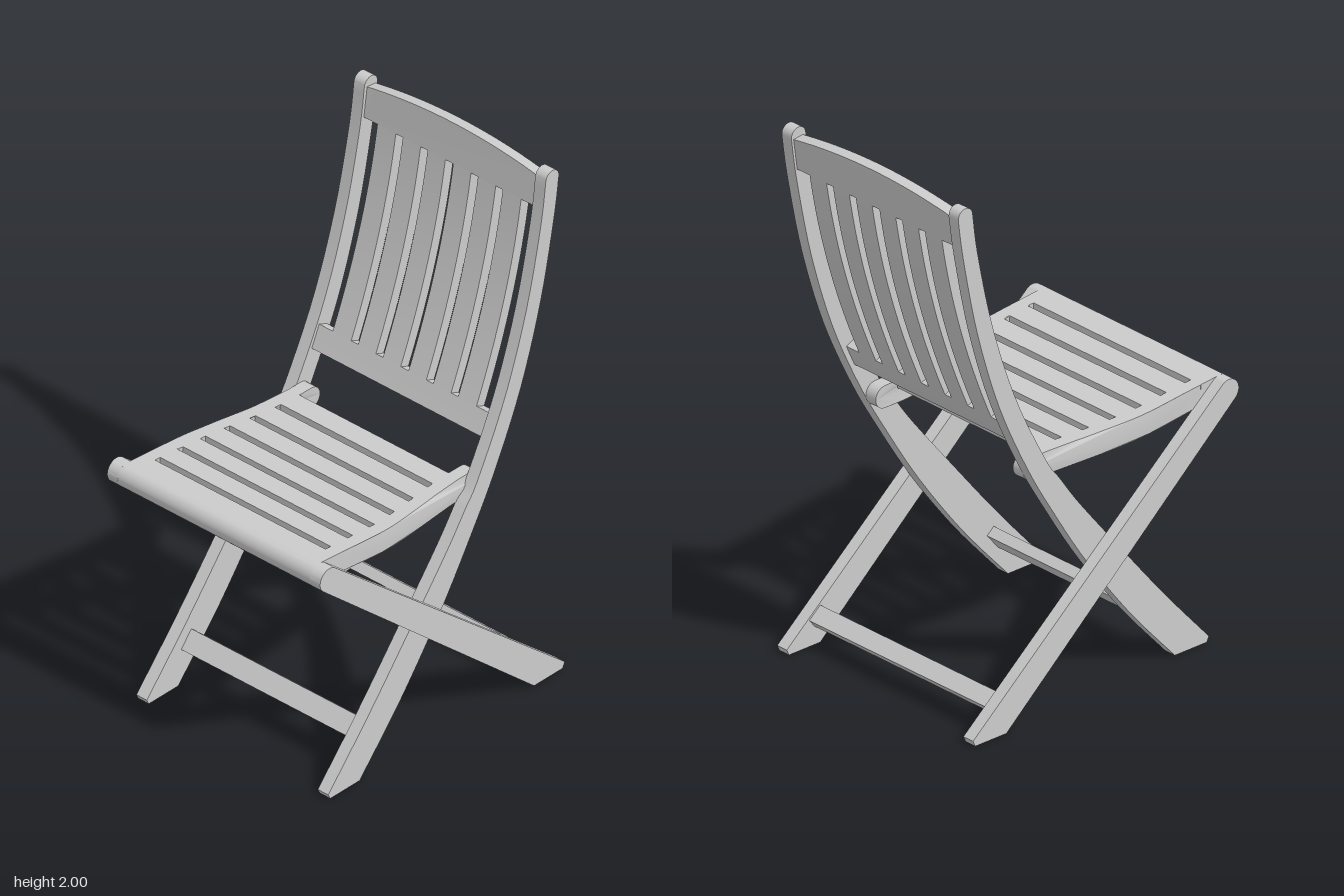
import * as THREE from 'three';
import { toCreasedNormals } from 'three/addons/utils/BufferGeometryUtils.js';

const material = new THREE.MeshStandardMaterial({ color: 0xcccccc });
const P = (pairs) => pairs.map(([a, b]) => new THREE.Vector2(a, b));
const smooth = (pairs, n = 24) => new THREE.SplineCurve(P(pairs)).getPoints(n);

// points on an arc, angles in radians
const arc = (cz, cy, r, a0, a1, n = 12) =>
  Array.from({ length: n + 1 }, (_, i) => {
    const a = a0 + ((a1 - a0) * i) / n;
    return new THREE.Vector2(cz + r * Math.cos(a), cy + r * Math.sin(a));
  });

// extrude a side profile of (z, y) points across x0..x1
function sideExtrude(points, x0, x1) {
  const geo = new THREE.ExtrudeGeometry(new THREE.Shape(points), { depth: x1 - x0, bevelEnabled: false });
  return geo.rotateY(-Math.PI / 2).translate(x1, 0, 0);
}

// move every vertex by a rule
function warp(geo, rule) {
  const pos = geo.attributes.position;
  const v = new THREE.Vector3();
  for (let i = 0; i < pos.count; i++) {
    rule(v.fromBufferAttribute(pos, i));
    pos.setXYZ(i, v.x, v.y, v.z);
  }
  return geo;
}

function add(group, name, geo) {
  const mesh = new THREE.Mesh(toCreasedNormals(geo, 0.5), material);
  mesh.name = name;
  group.add(mesh);
}

// backrest: flat pieces with local z in -t..0, bent along the lean
const leanZ = (y) => -0.29 - 0.385 * (y - 1.04) + 0.192 * (y - 1.04) * (y - 1.5);
const bend = (geo) => warp(geo, (v) => {
  const s = (leanZ(v.y + 0.01) - leanZ(v.y - 0.01)) / 0.02;
  const k = v.z / Math.hypot(1, s);
  v.z = leanZ(v.y) + k;
  v.y -= k * s;
});
const board = (x0, x1, y0, y1, t, segments) =>
  bend(new THREE.BoxGeometry(x1 - x0, y1 - y0, t, 1, segments, 1)
    .translate((x0 + x1) / 2, (y0 + y1) / 2, -t / 2));

function backrest() {
  const group = new THREE.Group();
  group.name = 'backrest';
  const t = 0.042;
  add(group, 'lowerBackRail', board(-0.392, 0.392, 1.04, 1.12, t, 3));
  for (const [x0, x1] of [[0.018, 0.099], [0.131, 0.212], [0.244, 0.328]]) {
    add(group, 'backSlat', board(x0, x1, 1.12, 1.85, t, 16));
    add(group, 'backSlat', board(-x1, -x0, 1.12, 1.85, t, 16));
  }
  // arched top rail
  const arch = Array.from({ length: 25 }, (_, i) => {
    const x = 0.392 - (0.784 * i) / 24;
    return new THREE.Vector2(x, 1.998 - 0.033 * (x / 0.392) ** 2);
  });
  const shape = new THREE.Shape([...P([[-0.392, 1.85], [0.392, 1.85]]), ...arch]);
  const geo = new THREE.ExtrudeGeometry(shape, { depth: t, bevelEnabled: false }).translate(0, 0, -t);
  add(group, 'topBackRail', bend(geo));
  return group;
}

// seat: half width grows towards the front, the top dips gently
const seatHalf = (z) => 0.39 + 0.05 * THREE.MathUtils.smoothstep(z, -0.2, 0.32);
const seatTop = [[0.572, 0.985], [0.4, 0.969], [0.2, 0.948], [0, 0.935], [-0.235, 0.93]];
function topY(z) {
  const i = Math.max(1, seatTop.findIndex((p) => p[0] <= z));
  const [z0, y0] = seatTop[i - 1], [z1, y1] = seatTop[i];
  return y0 + ((y1 - y0) * (z - z0)) / (z1 - z0);
}
const topLine = (z0, z1, drop, n = 4) =>
  Array.from({ length: n + 1 }, (_, i) => {
    const z = z0 + ((z1 - z0) * i) / n;
    return new THREE.Vector2(z, topY(z) - drop);
  });

function seat() {
  const group = new THREE.Group();
  group.name = 'seat';
  const thick = 0.032, wall = 0.05;

  // side rails with rounded rear ends
  const rail = [
    ...topLine(0.545, -0.235, 0, 24),
    ...arc(-0.235, 0.888, 0.042, Math.PI / 2, Math.PI * 1.5),
    ...smooth([[-0.155, 0.845], [0, 0.85], [0.19, 0.865], [0.455, 0.896], [0.545, 0.91]], 16),
  ];
  add(group, 'leftSeatRail', warp(sideExtrude(rail, -wall, 0), (v) => { v.x += seatHalf(v.z); }));
  add(group, 'rightSeatRail', warp(sideExtrude(rail, 0, wall), (v) => { v.x -= seatHalf(v.z); }));

  // cross slats between the slots
  const slots = [-0.09, 0.02, 0.13, 0.24, 0.35, 0.46];
  slots.forEach((end, i) => {
    const start = i ? slots[i - 1] + 0.026 : -0.175;
    const profile = [...topLine(end, start, 0), ...topLine(start, end, thick)];
    add(group, 'seatSlat', warp(sideExtrude(profile, -1, 1), (v) => { v.x *= seatHalf(v.z) - wall + 0.004; }));
  });

  // rounded front edge
  const nose = [
    ...topLine(0.572, 0.486, 0),
    ...P([[0.486, 0.945], [0.53, 0.925]]),
    ...arc(0.572, 0.94, 0.045, Math.PI * 1.25, Math.PI * 2.5, 20).slice(0, -1),
  ];
  add(group, 'seatFrontEdge', warp(sideExtrude(nose, -1, 1), (v) => { v.x *= seatHalf(v.z); }));
  return group;
}

function legs() {
  const group = new THREE.Group();
  group.name = 'foldingFrame';

  // long curved legs that carry the backrest
  const front = smooth([[0.525, 0.02], [0.32, 0.25], [0.105, 0.51], [-0.065, 0.72], [-0.155, 0.845],
    [-0.215, 0.93], [-0.35, 1.2], [-0.455, 1.5], [-0.525, 1.8], [-0.55, 1.97]], 40);
  const back = smooth([[-0.615, 1.965], [-0.59, 1.8], [-0.525, 1.5], [-0.428, 1.2], [-0.302, 0.93],
    [-0.18, 0.72], [-0.03, 0.487], [0.165, 0.23], [0.37, 0]], 40);
  const curved = [...front, ...arc(-0.5825, 1.9675, 0.0325, 0, Math.PI).slice(1, -1), ...back, ...P([[0.515, 0]])];

  // straight legs, rounded where they meet the seat edge
  const straight = [
    ...arc(0.572, 0.94, 0.045, -0.87, 2.27, 20),
    ...P([[-0.592, 0.022], [-0.582, 0], [-0.44, 0]]),
  ];
  for (const [side, sign] of [['left', 1], ['right', -1]]) {
    const span = (a, b) => (sign > 0 ? [a, b] : [-b, -a]);
    add(group, side + 'CurvedLeg', sideExtrude(curved, ...span(0.39, 0.438)));
    add(group, side + 'StraightLeg', sideExtrude(straight, ...span(0.438, 0.486)));
  }

  // stretchers near the feet
  add(group, 'frontStretcher',
    sideExtrude(P([[0.355, 0.14], [0.305, 0.2], [0.275, 0.174], [0.325, 0.114]]), -0.392, 0.392));
  add(group, 'rearStretcher',
    sideExtrude(P([[-0.44, 0.14], [-0.49, 0.098], [-0.465, 0.068], [-0.415, 0.11]]), -0.44, 0.44));
  return group;
}

export function createModel() {
  const model = new THREE.Group();
  model.name = 'foldingChair';
  model.add(legs(), seat(), backrest());
  return model;
}
